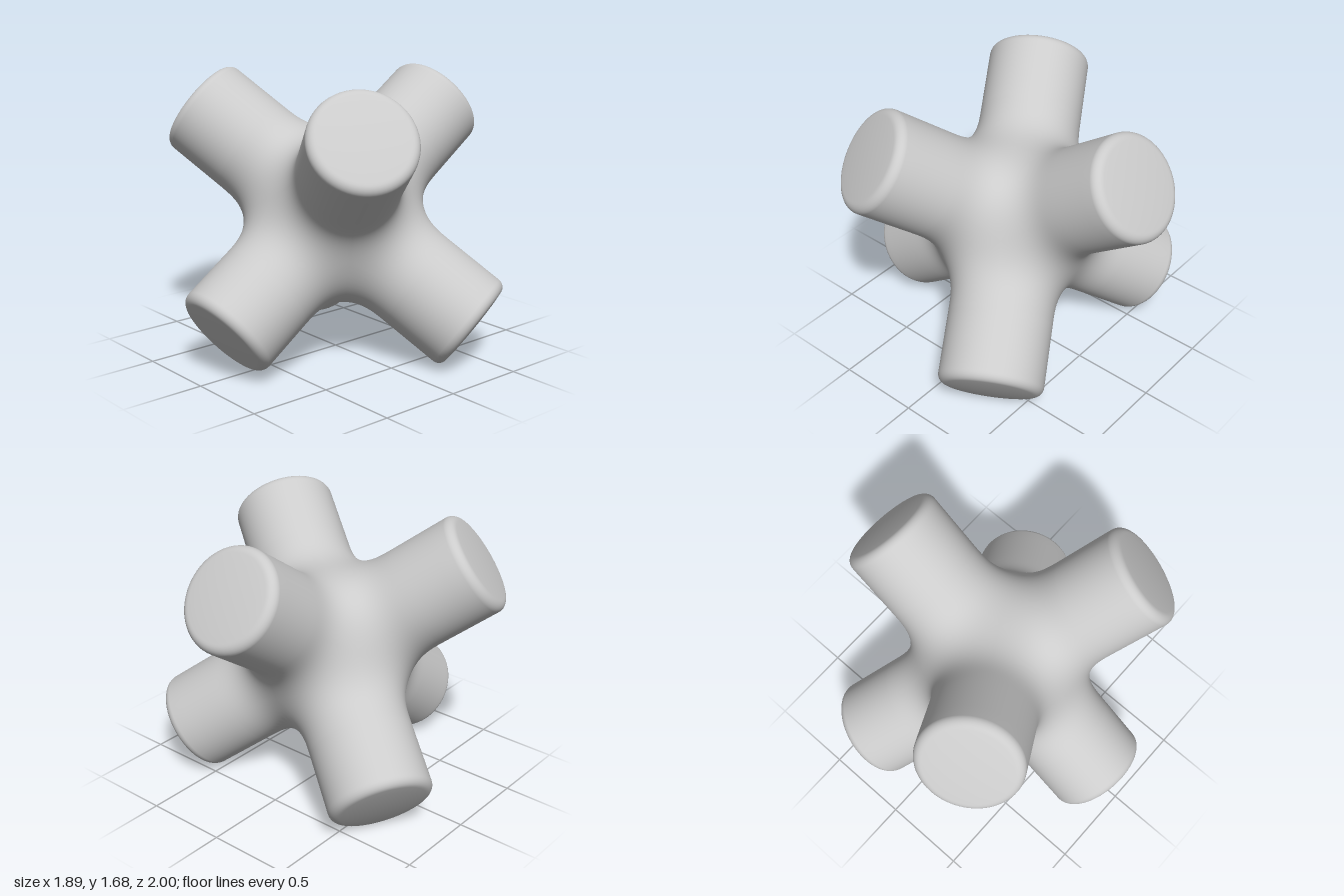
import * as THREE from 'three';
import { mergeGeometries, mergeVertices } from 'three/addons/utils/BufferGeometryUtils.js';

const R = 0.307;      // arm radius
const FILLET = 0.35;  // reach of the blend where arms meet
const POWER = 3;      // sharpness of the blend
const SEG = 64;       // sides of an arm
const ROWS = 22;      // rings in the blended root

// Three crossing cylinders joined by a soft fillet: negative inside, positive outside
function blend(x, y, z) {
  const distances = [Math.hypot(x, y), Math.hypot(y, z), Math.hypot(z, x)];
  let sum = 0;
  for (const d of distances) sum += Math.max(FILLET + R - d, 0) ** POWER;
  return FILLET - sum ** (1 / POWER);
}

// Surface point along a ray from the centre
function castOut(dir) {
  let lo = 0.2, hi = 0.9;
  for (let i = 0; i < 40; i++) {
    const mid = (lo + hi) / 2;
    if (blend(dir.x * mid, dir.y * mid, dir.z * mid) < 0) lo = mid; else hi = mid;
  }
  return dir.multiplyScalar(lo);
}

// Free end of an arm as [radius, height], from shaft to the slightly domed cap
function endProfile(length) {
  const pts = [[R, 0.72], [R, 0.82], [R, 0.92]];
  const round = 0.055;
  for (let i = 0; i <= 7; i++) {
    const a = (i / 7) * Math.PI / 2;
    pts.push([R - round + round * Math.cos(a), length - round + round * Math.sin(a)]);
  }
  pts.push([0.2, length + 0.005], [0.1, length + 0.009], [0, length + 0.01]);
  return pts;
}

// One arm along +z, from its mitred seam with the neighbours out to the cap
function armGeometry(length) {
  const pos = [], index = [];
  const end = endProfile(length);
  const rings = ROWS + 1 + end.length;
  for (let r = 0; r < rings; r++) {
    for (let s = 0; s < SEG; s++) {
      const a = (s / SEG) * Math.PI * 2;
      const c = Math.cos(a), n = Math.sin(a);
      if (r <= ROWS) {
        const seam = Math.max(Math.abs(c), Math.abs(n));
        const slope = THREE.MathUtils.lerp(seam, 0.65 / R, r / ROWS);
        const p = castOut(new THREE.Vector3(c, n, slope).normalize());
        pos.push(p.x, p.y, p.z);
      } else {
        const [rad, h] = end[r - ROWS - 1];
        pos.push(c * rad, n * rad, h);
      }
    }
  }
  for (let r = 0; r < rings - 1; r++) {
    for (let s = 0; s < SEG; s++) {
      const t = (s + 1) % SEG;
      const a = r * SEG + s, b = r * SEG + t;
      index.push(a, b, b + SEG);
      if (r < rings - 2) index.push(a, b + SEG, a + SEG);
    }
  }
  const g = new THREE.BufferGeometry();
  g.setAttribute('position', new THREE.Float32BufferAttribute(pos, 3));
  g.setIndex(index);
  return g;
}

export function createModel() {
  const group = new THREE.Group();
  group.name = 'sixArmJack';

  // Three perpendicular axes, with the body diagonal upright,
  // and the lengths of the upper and lower arm on each
  const h = Math.SQRT1_2, k = 1 / Math.sqrt(3), q = 1 / Math.sqrt(6);
  const axes = [
    { dir: new THREE.Vector3(-h, k, q), upper: 1.06, lower: 1.06 },
    { dir: new THREE.Vector3(h, k, q), upper: 1.06, lower: 1.055 },
    { dir: new THREE.Vector3(0, k, -2 * q), upper: 1.048, lower: 1.018 },
  ];

  // An arm out of both ends of each axis
  const parts = [];
  axes.forEach(({ dir, upper, lower }, i) => {
    const u = axes[(i + 1) % 3].dir, v = axes[(i + 2) % 3].dir;
    parts.push(armGeometry(upper).applyMatrix4(new THREE.Matrix4().makeBasis(u, v, dir)));
    parts.push(armGeometry(lower).applyMatrix4(new THREE.Matrix4().makeBasis(v, u, dir.clone().negate())));
  });

  // Weld the seams so the whole body shades smoothly
  const geometry = mergeVertices(mergeGeometries(parts), 1e-4);
  geometry.computeVertexNormals();
  const body = new THREE.Mesh(geometry, new THREE.MeshStandardMaterial({ color: 0xcccccc }));
  body.name = 'blendedArms';
  geometry.computeBoundingBox();
  body.position.set(0, -geometry.boundingBox.min.y, 0.012);
  group.add(body);
  return group;
}
